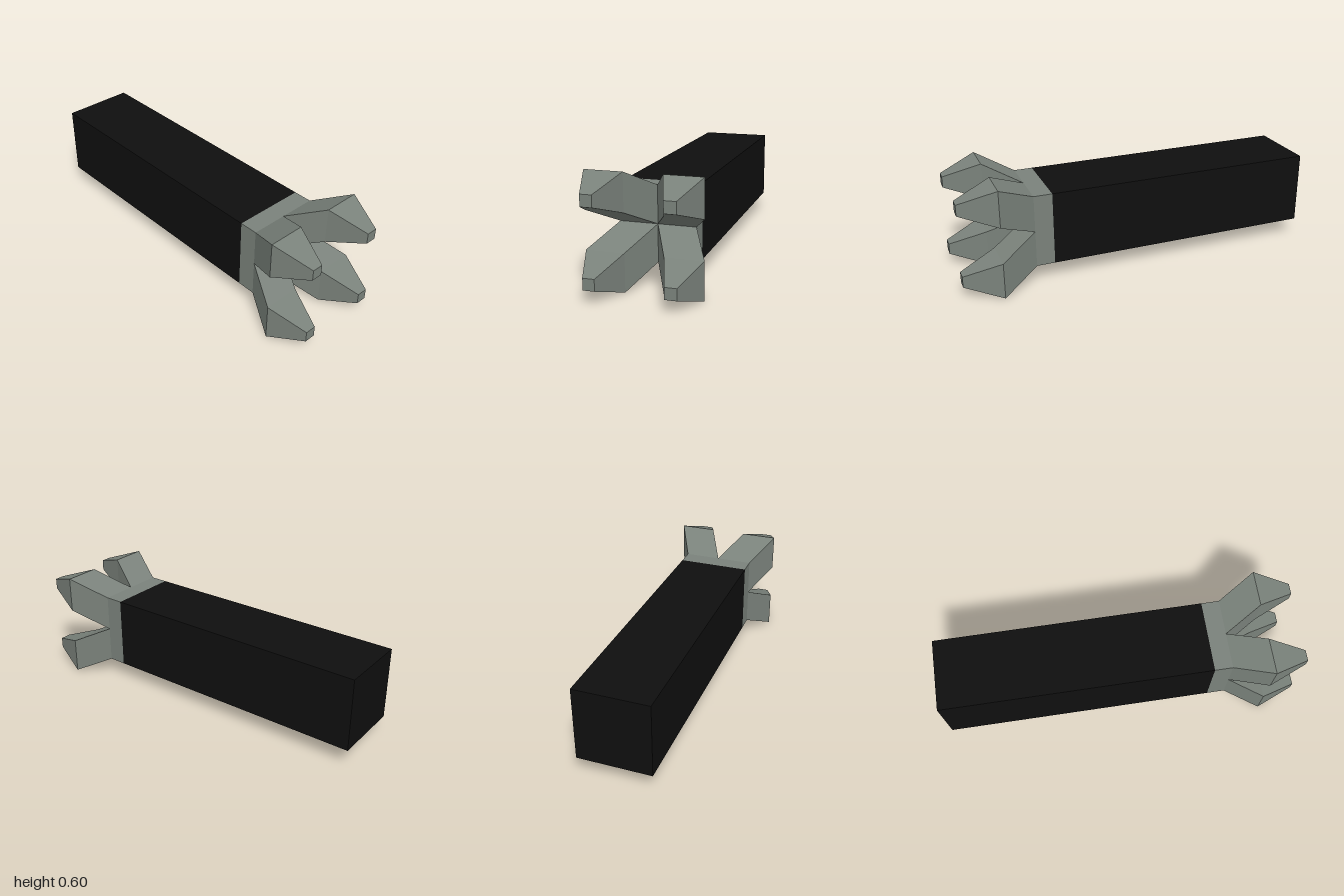
import * as THREE from 'three';

const MID_Y = 0.3;

// Square rings [centre x, centre y, z, half width] joined by flat sides, with a front cap
function loftSquares(rings) {
  const corners = [[-1, -1], [1, -1], [1, 1], [-1, 1]];
  const pts = rings.map(([cx, cy, z, h]) => corners.map(([u, v]) => [cx + u * h, cy + v * h, z]));
  const pos = [];
  const quad = (a, b, c, d) => pos.push(...a, ...b, ...c, ...a, ...c, ...d);
  for (let i = 0; i < pts.length - 1; i++) {
    for (let k = 0; k < 4; k++) {
      const n = (k + 1) % 4;
      quad(pts[i][k], pts[i][n], pts[i + 1][n], pts[i + 1][k]);
    }
  }
  quad(...pts[pts.length - 1]);
  const geo = new THREE.BufferGeometry();
  geo.setAttribute('position', new THREE.Float32BufferAttribute(pos, 3));
  geo.computeVertexNormals();
  return geo;
}

export function createModel() {
  const group = new THREE.Group();
  const black = new THREE.MeshStandardMaterial({ color: 0x0f0f0f, flatShading: true });
  const metal = new THREE.MeshStandardMaterial({ color: 0x7a827b, flatShading: true });

  const add = (name, geometry, material, x, y, z) => {
    const mesh = new THREE.Mesh(geometry, material);
    mesh.name = name;
    mesh.position.set(x, y, z);
    group.add(mesh);
  };

  // Square handle and the collar that carries the prongs
  add('handle', new THREE.BoxGeometry(0.4, 0.4, 1.5), black, 0, MID_Y, -0.25);
  add('collar', new THREE.BoxGeometry(0.4, 0.4, 0.1), metal, 0, MID_Y, 0.55);

  // Four prongs splay outward, then taper to small square tips
  for (const sx of [-1, 1]) {
    for (const sy of [-1, 1]) {
      const prong = loftSquares([
        [sx * 0.1, sy * 0.1, 0.6, 0.1],
        [sx * 0.2, sy * 0.2, 0.8, 0.1],
        [sx * 0.2, sy * 0.2, 1.0, 0.03],
      ]);
      const name = (sy > 0 ? 'upper' : 'lower') + (sx > 0 ? 'Left' : 'Right') + 'Prong';
      add(name, prong, metal, 0, MID_Y, 0);
    }
  }
  return group;
}
